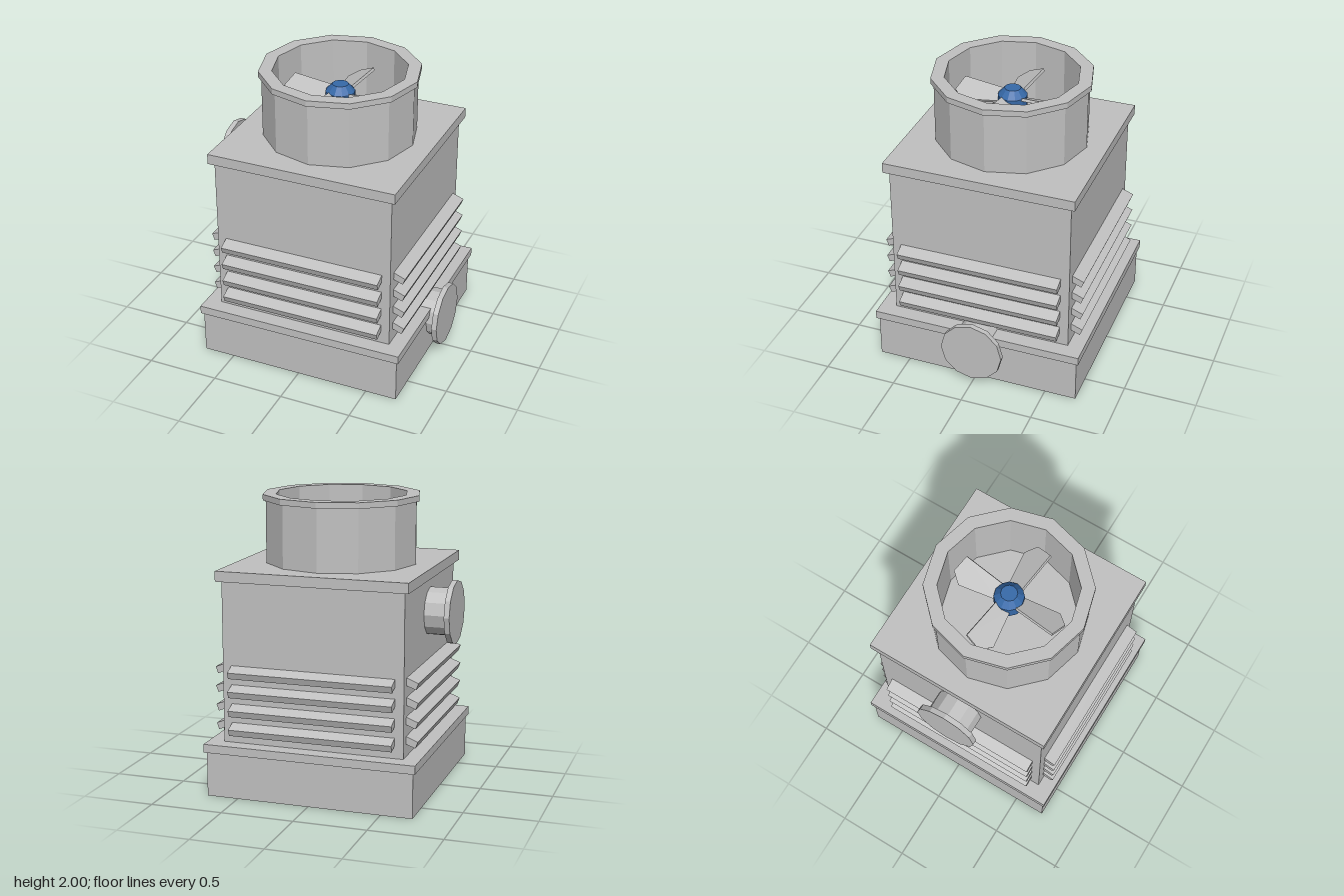
import * as THREE from 'three';

const grey = new THREE.MeshStandardMaterial({ color: 0xc0c0c0, flatShading: true });
grey.name = 'light grey metal';
const blue = new THREE.MeshStandardMaterial({ color: 0x3669a8, flatShading: true });
blue.name = 'blue hub paint';

const SIDES = 12;

function add(parent, name, geometry, material = grey) {
  const mesh = new THREE.Mesh(geometry, material);
  mesh.name = name;
  parent.add(mesh);
  return mesh;
}

// Square block centred on the vertical axis, from y0 to y1
function block(parent, name, half, y0, y1) {
  add(parent, name, new THREE.BoxGeometry(half * 2, y1 - y0, half * 2)).position.y = (y0 + y1) / 2;
}

function outline(points) {
  return new THREE.Shape(points.map(([x, y]) => new THREE.Vector2(x, y)));
}

function lathe(points) {
  return new THREE.LatheGeometry(points.map(([x, y]) => new THREE.Vector2(x, y)), SIDES);
}

// Horizontal pipe with a blind flange on its outer end
function pipe(parent, name, side, y, xInner) {
  const group = new THREE.Group();
  group.name = name;
  const disc = (part, radius, x0, x1) => {
    const g = new THREE.CylinderGeometry(radius, radius, x1 - x0, SIDES);
    g.rotateZ(-side * Math.PI / 2);
    add(group, part, g).position.set(side * (x0 + x1) / 2, y, 0);
  };
  disc('pipeStub', 0.164, xInner, 0.78);
  disc('pipeFlange', 0.218, 0.776, 0.813);
  parent.add(group);
}

export function createModel() {
  const model = new THREE.Group();
  model.name = 'coolingTower';

  // Basin, housing and roof slab
  block(model, 'basin', 0.718, 0, 0.31);
  block(model, 'basinRim', 0.735, 0.307, 0.365);
  block(model, 'housing', 0.627, 0.36, 1.47);
  block(model, 'roofSlab', 0.66, 1.465, 1.535);

  // Four sloping louvers on each side
  const slat = new THREE.ExtrudeGeometry(
    outline([[0.6, 0.042], [0.6, -0.01], [0.69, -0.045], [0.707, 0]]),
    { depth: 1.134, bevelEnabled: false });
  slat.translate(0, 0, -0.567);
  for (let side = 0; side < 4; side++) {
    const bank = new THREE.Group();
    bank.name = 'louverBank';
    bank.rotation.y = side * Math.PI / 2;
    for (let row = 0; row < 4; row++) {
      add(bank, 'louver', slat).position.y = 0.865 - row * 0.131;
    }
    model.add(bank);
  }

  // Inlet high on one side, outlet low on the other
  pipe(model, 'inletPipe', -1, 1.226, 0.6);
  pipe(model, 'outletPipe', 1, 0.264, 0.6);

  // Open fan duct with a lip
  add(model, 'fanDuct', lathe([
    [0.522, 1.53], [0.522, 1.96], [0.542, 1.96], [0.542, 2], [0.452, 2], [0.452, 1.53]]));

  // Fan: hub and four pitched blades
  const fan = new THREE.Group();
  fan.name = 'fan';
  add(fan, 'fanHub', lathe([
    [0, 1.74], [0.1, 1.74], [0.1, 1.835], [0.055, 1.885], [0, 1.885]]), blue);
  const blade = new THREE.ExtrudeGeometry(
    outline([[0.06, -0.052], [0.33, -0.09], [0.4, -0.022], [0.37, 0.098], [0.06, 0.055]]),
    { depth: 0.02, bevelEnabled: false });
  blade.translate(0, 0, -0.01);
  blade.rotateX(Math.PI / 2 - 0.43);
  for (let i = 0; i < 4; i++) {
    const mesh = add(fan, 'fanBlade', blade);
    mesh.position.y = 1.81;
    mesh.rotation.y = i * Math.PI / 2;
  }
  model.add(fan);

  return model;
}
